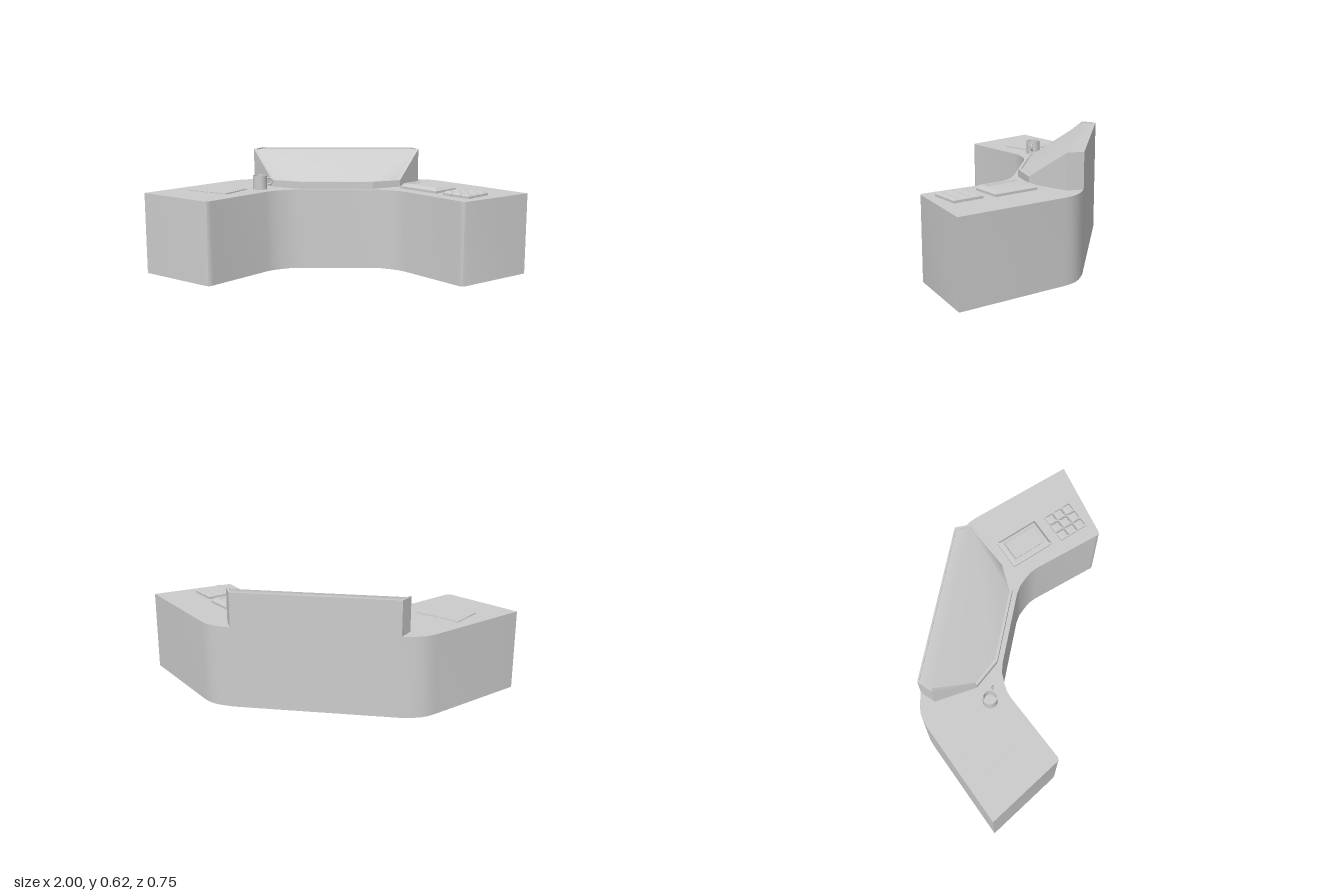
import * as THREE from 'three';
import { toCreasedNormals } from 'three/addons/utils/BufferGeometryUtils.js';

const DESK = 0.432;

// Skin rings of [x, y, z] corners into flat quads; optionally fan-cap the last ring.
function loft(rings, cap = true) {
  const pos = [];
  const n = rings[0].length;
  for (let r = 0; r < rings.length - 1; r++) {
    const a = rings[r], b = rings[r + 1];
    for (let i = 0; i < n; i++) {
      const j = (i + 1) % n;
      pos.push(...a[i], ...a[j], ...b[j], ...a[i], ...b[j], ...b[i]);
    }
  }
  const top = rings[rings.length - 1];
  if (cap) for (let i = 1; i < n - 1; i++) pos.push(...top[0], ...top[i], ...top[i + 1]);
  const geo = new THREE.BufferGeometry();
  geo.setAttribute('position', new THREE.Float32BufferAttribute(pos, 3));
  geo.computeVertexNormals();
  return geo;
}

// Rectangular ring of width w, depth d at height y
const rect = ([w, d, y]) => [[-w / 2, y, d / 2], [w / 2, y, d / 2], [w / 2, y, -d / 2], [-w / 2, y, -d / 2]];

// Mirror a half outline (front to back on +x) into a full ring
function mirrored(half) {
  const left = half.map(([x, y, z]) => [-x, y, z]);
  return [left[0], ...half, ...left.slice(1).reverse()];
}

export function createModel() {
  const group = new THREE.Group();
  const gray = new THREE.MeshStandardMaterial({ color: 0xcccccc });
  const add = (name, geo, x = 0, y = 0, z = 0, turn = 0, parent = group) => {
    const mesh = new THREE.Mesh(geo, gray);
    mesh.name = name;
    mesh.position.set(x, y, z);
    mesh.rotation.y = turn;
    parent.add(mesh);
    return mesh;
  };

  // Desk block with two angled wings
  const half = [
    [0.2, 0.004], [0.25, 0.012], [0.3, 0.034], [0.335, 0.052], [0.368, 0.08],
    [0.615, 0.358], [0.625, 0.37], [0.637, 0.375], [0.65, 0.37], [1, 0.117],
    [0.6, -0.305], [0.57, -0.332], [0.54, -0.35], [0.5, -0.364], [0.43, -0.375],
  ];
  const outline = [...half, ...half.map(([x, z]) => [-x, z]).reverse()];
  const shape = new THREE.Shape(outline.map(([x, z]) => new THREE.Vector2(x, -z)));
  const desk = new THREE.ExtrudeGeometry(shape, { depth: DESK, bevelEnabled: false });
  desk.rotateX(-Math.PI / 2);
  add('desk', toCreasedNormals(desk, 0.6));

  // Raised console with a thin rim
  const rim = mirrored([[0.2, 0.47, -0.022], [0.35, 0.468, -0.098], [0.465, 0.616, -0.295], [0.43, 0.616, -0.375]]);
  const inner = mirrored([[0.192, 0.47, -0.036], [0.337, 0.468, -0.107], [0.45, 0.616, -0.3], [0.42, 0.616, -0.366]]);
  const lower = (ring, d) => ring.map(([x, y, z]) => [x, y - d, z]);
  const foot = rim.map(([x, , z]) => [x, DESK, z]);
  const panelRing = lower(inner, 0.005);
  add('console', loft([foot, rim, inner, panelRing], false));

  // Sloping console panel set inside the rim
  const panel = new THREE.BufferGeometry();
  panel.setAttribute('position', new THREE.Float32BufferAttribute(panelRing.flat(), 3));
  panel.setIndex([0, 1, 3, 0, 3, 6, 1, 2, 3, 0, 6, 7, 3, 4, 5, 3, 5, 6]);
  panel.computeVertexNormals();
  add('consolePanel', panel);

  // Bevelled display with a recessed screen
  const turn = -Math.PI / 4;
  add('display', loft([
    [0.245, 0.166, 0], [0.245, 0.166, 0.012], [0.215, 0.136, 0.028],
    [0.195, 0.116, 0.028], [0.185, 0.106, 0.018],
  ].map(rect)), 0.494, DESK, -0.012, turn);

  // Nine bevelled keys
  const keypad = new THREE.Group();
  keypad.name = 'keypad';
  keypad.position.set(0.667, DESK, 0.182);
  keypad.rotation.y = turn;
  group.add(keypad);
  const keyGeo = loft([[0.05, 0.05, 0], [0.05, 0.05, 0.012], [0.032, 0.032, 0.022]].map(rect));
  for (let i = -1; i <= 1; i++)
    for (let j = -1; j <= 1; j++) add('key', keyGeo, i * 0.056, 0, j * 0.056, 0, keypad);

  // Hollow mug with a handle
  const mug = new THREE.Group();
  mug.name = 'mug';
  mug.position.set(-0.408, DESK, -0.018);
  group.add(mug);
  const profile = [[0, 0], [0.038, 0], [0.038, 0.074], [0.033, 0.074], [0.033, 0.008], [0, 0.008]];
  const cup = new THREE.LatheGeometry(profile.map(([x, y]) => new THREE.Vector2(x, y)), 24);
  add('mugCup', toCreasedNormals(cup, 0.6), 0, 0, 0, 0, mug);
  const grip = new THREE.CatmullRomCurve3([
    [0.035, 0.058], [0.058, 0.058], [0.067, 0.046], [0.06, 0.03], [0.035, 0.022],
  ].map(([x, y]) => new THREE.Vector3(x, y, 0)));
  add('mugHandle', new THREE.TubeGeometry(grip, 16, 0.005, 8), 0, 0, 0, 0, mug);

  // Loose stack of paper sheets
  [[0, 0.012], [0.004, -0.02], [-0.003, 0]].forEach(([shift, twist], i) => {
    add('paperSheet', new THREE.BoxGeometry(0.25, 0.002, 0.18),
      -0.63 + shift, DESK + 0.001 + i * 0.002, 0.025 - shift, -0.51 + twist);
  });

  return group;
}
